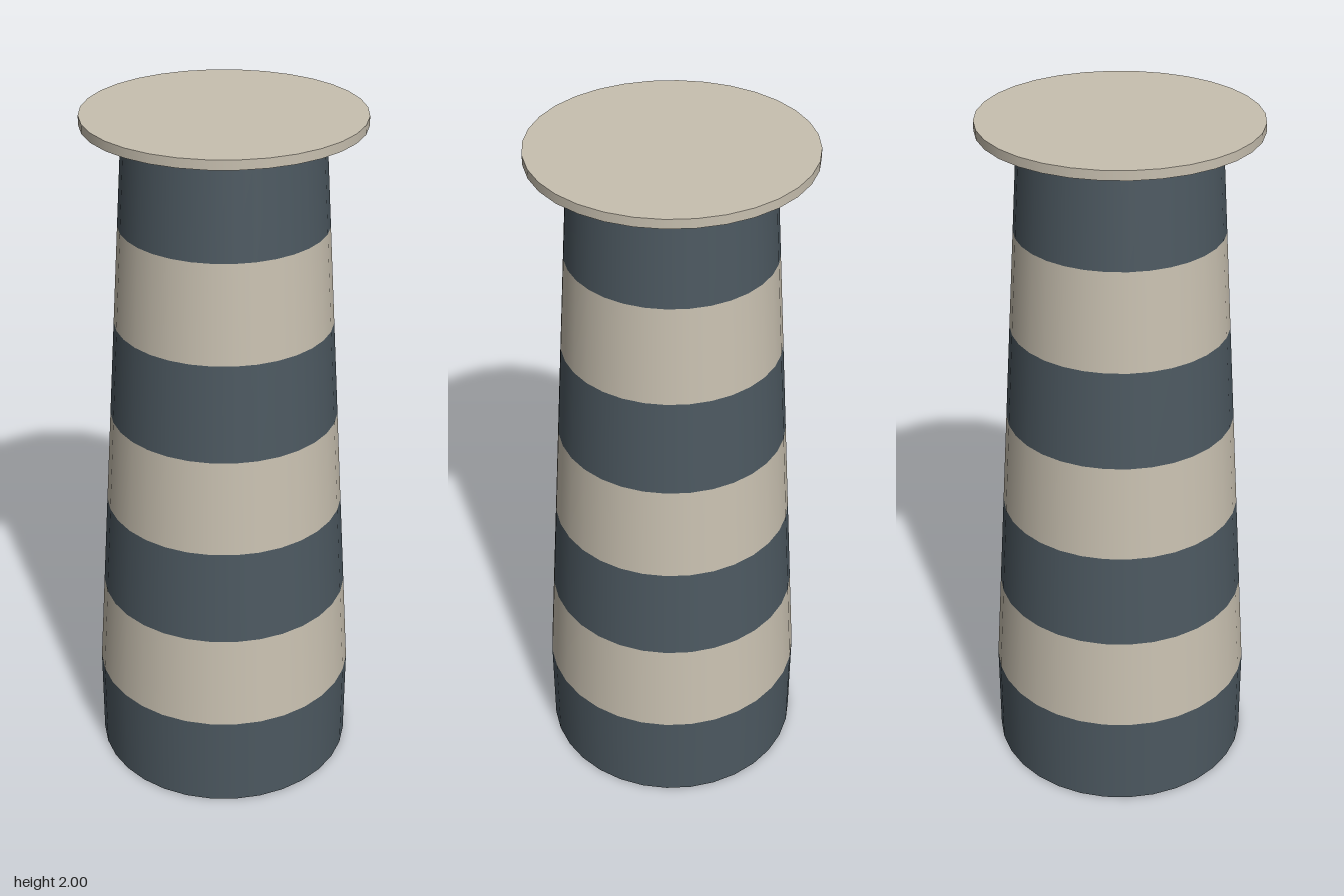
import * as THREE from 'three';

const SIDES = 32;
const BANDS = 7;
const BAND_H = 0.282;
const BASE_R = 0.38;
const TOP_R = 0.27;

function material(name, color) {
  const m = new THREE.MeshStandardMaterial({ color });
  m.name = name;
  return m;
}

export function createModel() {
  const slate = material('slate', 0x4c5860);
  const stone = material('stone', 0xc8c0b0);
  const earth = material('brown', 0x94806c);

  const model = new THREE.Group();
  model.name = 'stripedTower';
  const add = (name, geometry, mat, y) => {
    const mesh = new THREE.Mesh(geometry, mat);
    mesh.name = name;
    mesh.position.y = y;
    model.add(mesh);
  };

  // straight base band, then six tapering bands in alternating colours
  const radiusAt = (i) => BASE_R + (TOP_R - BASE_R) * Math.max(0, i - 1) / (BANDS - 1);
  for (let i = 0; i < BANDS; i++) {
    const band = new THREE.CylinderGeometry(radiusAt(i + 1), radiusAt(i), BAND_H, SIDES, 1, true);
    add(i === 0 ? 'baseBand' : `towerBand${i}`, band, i % 2 ? stone : slate, (i + 0.5) * BAND_H);
  }

  // underside of the base
  add('baseUnderside', new THREE.CircleGeometry(BASE_R, SIDES).rotateX(Math.PI / 2), earth, 0);

  // thin overhanging platform on top
  const wallTop = BANDS * BAND_H;
  const thickness = 2 - wallTop;
  add('topPlatform', new THREE.CylinderGeometry(BASE_R, BASE_R, thickness, SIDES), stone, wallTop + thickness / 2);

  return model;
}
